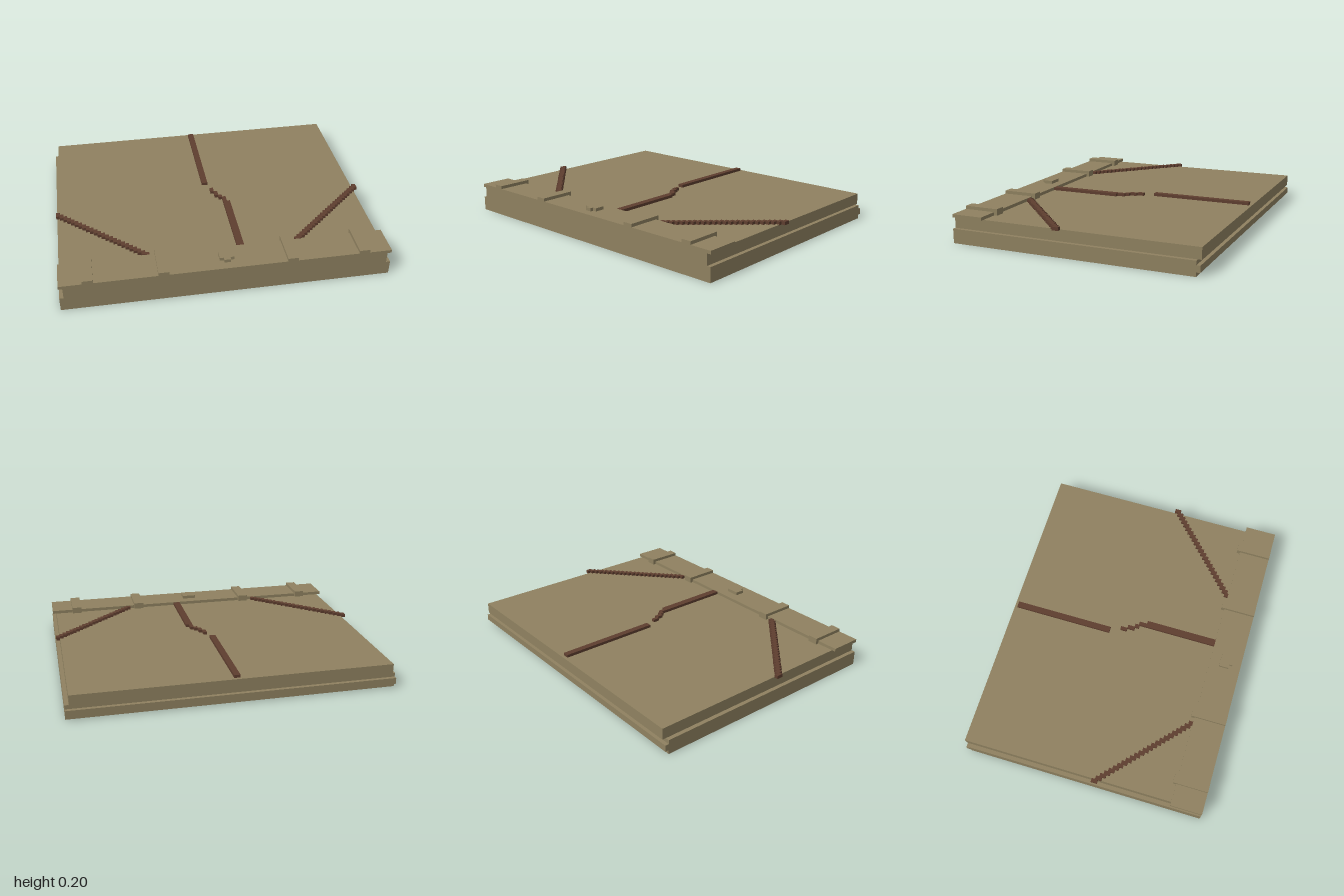
import * as THREE from 'three';

export function createModel() {
  const model = new THREE.Group();
  model.name = 'slab';
  const tan = new THREE.MeshStandardMaterial({ color: 0x8f8160 });
  tan.name = 'khaki tan';
  const brown = new THREE.MeshStandardMaterial({ color: 0x5e3e2f });
  brown.name = 'dark brown';

  // box from its minimum and maximum corners
  function box(name, material, [x0, y0, z0], [x1, y1, z1], parent = model) {
    const mesh = new THREE.Mesh(new THREE.BoxGeometry(x1 - x0, y1 - y0, z1 - z0), material);
    mesh.position.set((x0 + x1) / 2, (y0 + y1) / 2, (z0 + z1) / 2);
    mesh.name = name;
    parent.add(mesh);
  }

  // body: base with a rear tongue, inset upper slab, raised front strip
  box('base', tan, [-1, 0, -0.757], [1, 0.09, 0.78]);
  box('rearTongue', tan, [-1, 0.025, -0.78], [1, 0.065, -0.757]);
  box('upperSlab', tan, [-0.975, 0.09, -0.78], [0.975, 0.16, 0.78]);
  box('frontStrip', tan, [-1, 0.16, 0.578], [1, 0.18, 0.78]);

  // cleats across the front strip
  for (const side of [-1, 1]) {
    for (const x of [0.388, 0.83]) {
      box('cleat', tan, [side * x - 0.032, 0.16, 0.557], [side * x + 0.032, 0.2, 0.78]);
    }
  }

  // stepped latch in the middle of the strip
  box('latch', tan, [-0.045, 0.18, 0.643], [0.045, 0.2, 0.705]);
  box('latchTip', tan, [-0.02, 0.18, 0.705], [0.02, 0.2, 0.726]);

  // central seam: two straight bars joined by small steps
  const seam = new THREE.Group();
  seam.name = 'centralSeam';
  model.add(seam);
  const bars = [
    [-0.02, -0.76, 0.018, -0.115],
    [0.022, -0.05, 0.044, -0.007],
    [0.042, -0.007, 0.066, 0.04],
    [0.064, 0.036, 0.088, 0.066],
    [0.086, 0.06, 0.11, 0.112],
    [0.086, 0.11, 0.13, 0.578],
  ];
  for (const [x0, z0, x1, z1] of bars) {
    box('seamBar', brown, [x0, 0.157, z0], [x1, 0.178, z1], seam);
  }

  // diagonal stair-stepped seams, mirrored left and right
  const steps = 24;
  for (const side of [-1, 1]) {
    const diagonal = new THREE.Group();
    diagonal.name = side > 0 ? 'leftDiagonalSeam' : 'rightDiagonalSeam';
    model.add(diagonal);
    for (let i = 0; i < steps; i++) {
      const t = i / (steps - 1);
      const x = side * (0.988 - 0.526 * t);
      const z = 0.085 + 0.486 * t;
      box('seamStep', brown, [x - 0.012, 0.157, z - 0.02], [x + 0.012, 0.178, z + 0.02], diagonal);
    }
  }
  return model;
}
